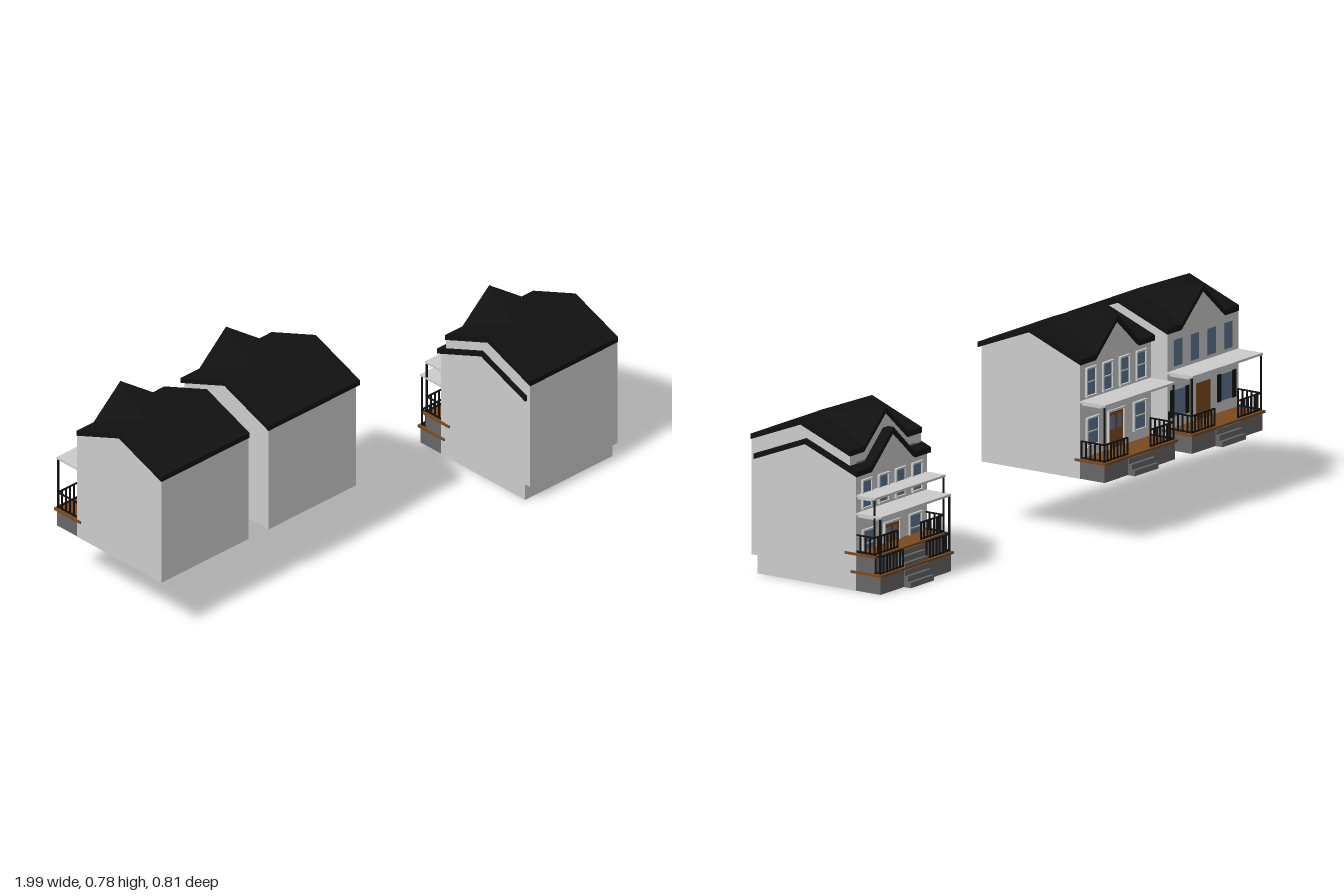
import * as THREE from 'three';
import { mergeGeometries } from 'three/addons/utils/BufferGeometryUtils.js';

const mat = (color) => new THREE.MeshStandardMaterial({ color, flatShading: true });
const wallMat = mat(0xcccccc);
const roofMat = mat(0x111111);
const stoneMat = mat(0x666666);
const woodMat = mat(0x7a4a1e);
const glassMat = mat(0x5f7590);

// Box given by its min and max on each axis
function span(x0, x1, y0, y1, z0, z1) {
  return new THREE.BoxGeometry(x1 - x0, y1 - y0, z1 - z0)
    .translate((x0 + x1) / 2, (y0 + y1) / 2, (z0 + z1) / 2);
}

function add(group, name, geometries, material) {
  const list = Array.isArray(geometries) ? geometries : [geometries];
  const mesh = new THREE.Mesh(list.length > 1 ? mergeGeometries(list) : list[0], material);
  mesh.name = name;
  group.add(mesh);
}

// House-shaped solid: cross-ridge along x, plus a gable rising towards the porch side
const RIDGE = 0.52, PITCH = 0.39, PEAK = 0.55, THICK = 0.02;
function gabledSolid(w, d, drop, bottomOf) {
  const r = RIDGE - drop, e = r - PITCH * d, p = PEAK - drop, q = 0.09, b = 0.13;
  const top = [
    [-w, e, d], [w, e, d],
    [-w, r, 0], [-q, r, 0], [q, r, 0], [w, r, 0],
    [-w, e, -d], [-b, e, -d], [0, p, -d], [b, e, -d], [w, e, -d],
  ];
  const faces = [
    [0, 1, 5], [0, 5, 2], [2, 3, 7], [2, 7, 6], [3, 8, 7],
    [3, 4, 8], [4, 9, 8], [4, 5, 9], [5, 10, 9],
  ];
  const rim = [0, 1, 5, 10, 9, 8, 7, 6, 2];
  const low = top.map(([x, y, z]) => [x, bottomOf(y), z]);
  const pos = [];
  const tri = (a, c, f) => pos.push(...a, ...c, ...f);
  for (const [a, c, f] of faces) {
    tri(top[a], top[c], top[f]);
    tri(low[f], low[c], low[a]);
  }
  rim.forEach((a, i) => {
    const c = rim[(i + 1) % rim.length];
    tri(low[a], low[c], top[c]);
    tri(low[a], top[c], top[a]);
  });
  const geo = new THREE.BufferGeometry();
  geo.setAttribute('position', new THREE.Float32BufferAttribute(pos, 3));
  geo.computeVertexNormals();
  return geo;
}

// Picture-frame trim on the porch-side wall
function frame(x, y, w, h, z) {
  const s = 0.006;
  return [
    span(x - w / 2 - s, x - w / 2, y, y + h, z - 0.008, z),
    span(x + w / 2, x + w / 2 + s, y, y + h, z - 0.008, z),
    span(x - w / 2 - s, x + w / 2 + s, y - s, y, z - 0.01, z),
    span(x - w / 2 - s, x + w / 2 + s, y + h, y + h + s, z - 0.01, z),
    span(x - w / 2, x + w / 2, y + h / 2 - 0.002, y + h / 2 + 0.002, z - 0.005, z),
  ];
}

function createPorch(wall) {
  const porch = new THREE.Group();
  porch.name = 'porch';
  const edge = wall - 0.105, half = 0.21, gap = 0.07;

  // Stone base and steps
  add(porch, 'porchBase', span(-half, half, 0, 0.063, edge, wall), stoneMat);
  add(porch, 'steps', [0, 1, 2].map((i) =>
    span(-gap, gap, 0, 0.02 * (i + 1), edge - 0.03 + i * 0.0125, edge)), stoneMat);
  add(porch, 'porchFloor', span(-0.217, 0.217, 0.063, 0.072, edge - 0.008, wall + 0.02), woodMat);

  // Railings with balusters at both sides and either side of the steps
  const parts = [];
  const t = 0.0025, z = edge + 0.003;
  for (const s of [-1, 1]) {
    const x = s * (half - 0.004);
    const inner = s * gap;
    for (const y of [0.076, 0.135]) {
      parts.push(span(x - t, x + t, y - t, y + t, z, wall));
      parts.push(span(Math.min(x, inner), Math.max(x, inner), y - t, y + t, z - t, z + t));
    }
    for (let i = 0; i < 6; i++) {
      const bz = z + i * 0.02;
      parts.push(span(x - t, x + t, 0.072, 0.135, bz - t, bz + t));
    }
    for (let i = 0; i <= 7; i++) {
      const bx = inner + (x - inner) * i / 7;
      parts.push(span(bx - t, bx + t, 0.072, 0.135, z - t, z + t));
    }
  }
  add(porch, 'railings', parts, roofMat);

  // Corner posts and flat canopy
  add(porch, 'posts', [-1, 1].map((s) =>
    span(s * 0.206 - 0.003, s * 0.206 + 0.003, 0.072, 0.27, z - 0.003, z + 0.003)), roofMat);
  add(porch, 'canopy', [
    span(-half, half, 0.272, 0.28, edge - 0.002, wall),
    span(-half + 0.01, half - 0.01, 0.263, 0.272, edge + 0.02, wall),
  ], wallMat);
  return porch;
}

function createHouse(name, x, y, z, overhang, trimmed) {
  const house = new THREE.Group();
  house.name = name;
  house.position.set(x, y, z);
  const w = 0.212, d = 0.213, wall = -d;

  add(house, 'walls', gabledSolid(w, d, THICK, () => 0), wallMat);
  add(house, 'roof', gabledSolid(w + overhang, d + overhang, 0, (h) => h - THICK), roofMat);
  house.add(createPorch(wall));

  // Four upper windows and two lower ones
  const openings = [-0.15, -0.05, 0.05, 0.15].map((wx) => [wx, 0.293, 0.05, 0.095])
    .concat([-0.14, 0.14].map((wx) => [wx, 0.112, 0.065, 0.095]));
  add(house, 'windowPanes', openings.map(([wx, wy, ww, wh]) =>
    span(wx - ww / 2, wx + ww / 2, wy, wy + wh, wall - 0.002, wall)), glassMat);
  add(house, 'door', span(-0.042, 0.042, 0.072, 0.205, wall - 0.003, wall), woodMat);

  if (trimmed) {
    add(house, 'windowTrim', openings.flatMap((o) => frame(...o, wall)), wallMat);
    add(house, 'doorTrim', [
      span(-0.049, -0.042, 0.072, 0.212, wall - 0.008, wall),
      span(0.042, 0.049, 0.072, 0.212, wall - 0.008, wall),
      span(-0.042, 0.042, 0.205, 0.212, wall - 0.008, wall),
    ], wallMat);
    add(house, 'doorPanes', [-1, 1].map((s) =>
      span(s * 0.02 - 0.012, s * 0.02 + 0.012, 0.14, 0.19, wall - 0.004, wall)), glassMat);
  } else {
    // Dark shutters beside the lower windows
    add(house, 'shutters', [-0.185, -0.095, 0.095, 0.185].map((sx) =>
      span(sx - 0.011, sx + 0.011, 0.11, 0.21, wall - 0.003, wall)), roofMat);
  }
  return house;
}

export function createModel() {
  const group = new THREE.Group();
  group.name = 'rowOfHouses';
  group.add(
    createHouse('plainHouse', -0.78, 0.225, -0.055, 0.002, false),
    createHouse('trimmedHouse', -0.262, 0.225, -0.052, 0.01, true),
    // Two overlapping houses on the lower plot
    createHouse('lowerHouse', 0.775, 0, 0.166, 0.01, true),
    createHouse('raisedHouse', 0.774, 0.065, 0.192, 0.002, false),
  );
  return group;
}
